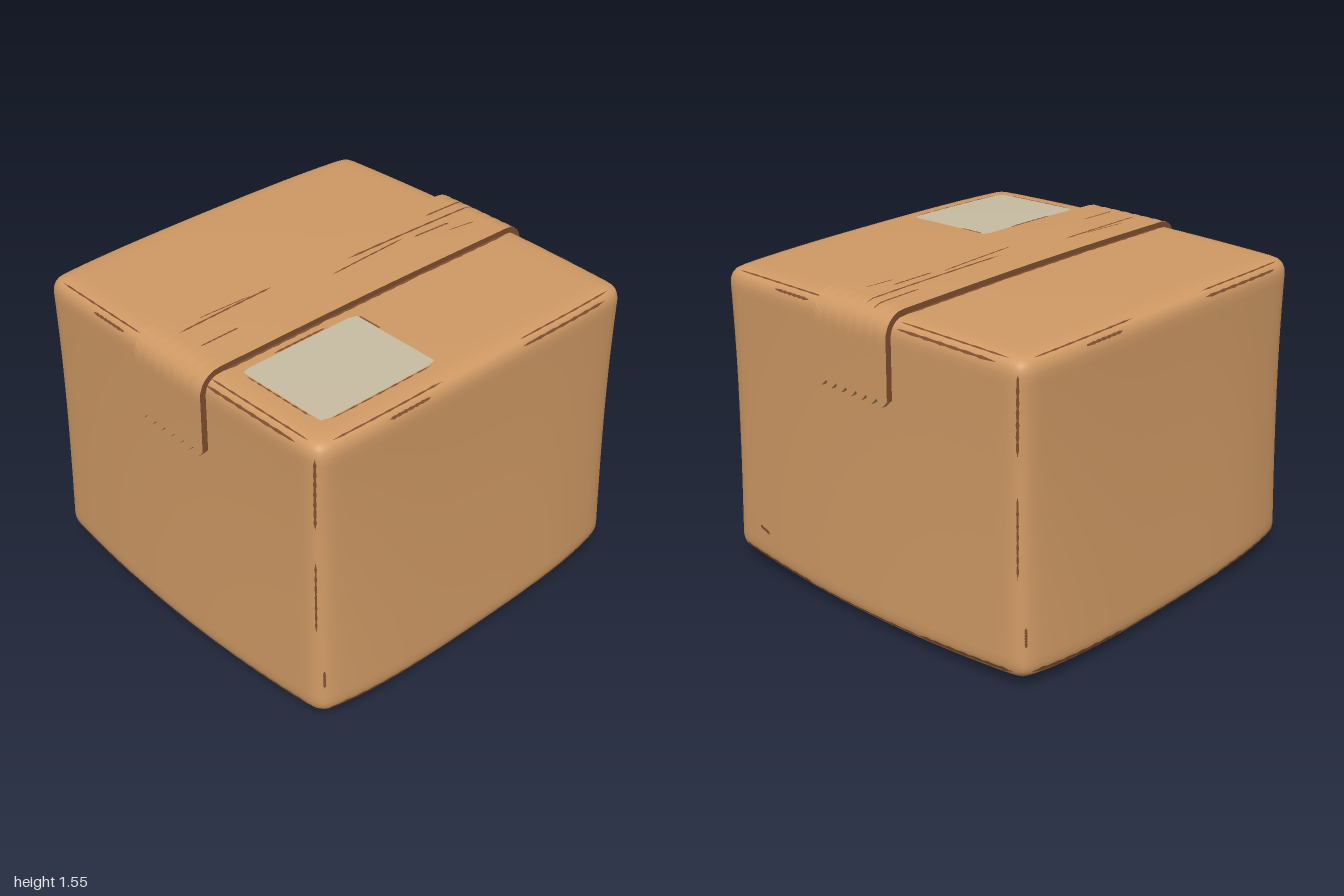
import * as THREE from 'three';
import { mergeVertices, toCreasedNormals } from 'three/addons/utils/BufferGeometryUtils.js';

const H = 1.52;   // height of the undeformed box
const R = 0.08;   // edge radius

const cardboard = new THREE.MeshStandardMaterial({ name: 'cardboard', color: 0xd09a65 });
const wear = new THREE.MeshStandardMaterial({ name: 'worn brown', color: 0x80502f, side: THREE.DoubleSide });
const paper = new THREE.MeshStandardMaterial({ name: 'label paper', color: 0xc8bca2, side: THREE.DoubleSide });

// Takes a point on the plain box to the rounded, sagging box, lifted by "off"
function surf(x, y, z, off = 0) {
  const p = new THREE.Vector3(x, y, z);
  const q = p.clone().clamp(new THREE.Vector3(R - 1, R, R - 1), new THREE.Vector3(1 - R, H - R, 1 - R));
  p.sub(q).setLength(R + off).add(q);
  const t = p.y / H, taper = Math.sin(Math.min(t, 1) * Math.PI / 2), bulge = 1 - 0.6 * t;
  const r2 = p.x * p.x + p.z * p.z;
  return new THREE.Vector3(
    p.x * (1 - 0.04 * taper) * (1 - 0.045 * bulge * p.z * p.z),
    p.y + (1 - t) * 0.03 * r2 - t * 0.012 * r2,
    p.z * (1 - 0.055 * taper) * (1 - 0.06 * bulge * p.x ** 4));
}

// Moves every vertex of a geometry by a rule
function remap(geo, rule) {
  const pos = geo.attributes.position;
  for (let i = 0; i < pos.count; i++) {
    const v = rule(pos.getX(i), pos.getY(i), pos.getZ(i));
    pos.setXYZ(i, v.x, v.y, v.z);
  }
  return geo;
}

function add(group, name, geo, mat) {
  const mesh = new THREE.Mesh(geo, mat);
  mesh.name = name;
  group.add(mesh);
}

// Rounded box with grid lines gathered near its edges
function bodyGeometry() {
  const s = c => Math.sin(c * Math.PI / 2);
  let geo = remap(new THREE.BoxGeometry(2, 2, 2, 28, 28, 28), (x, y, z) => surf(s(x), (s(y) + 1) / 2 * H, s(z)));
  geo.deleteAttribute('normal');
  geo.deleteAttribute('uv');
  geo.clearGroups();
  geo = mergeVertices(geo, 1e-5);
  geo.computeVertexNormals();
  return geo;
}

// Tape running over the top and down both sides, with zigzag ends
function tapeGeometry() {
  const geo = remap(new THREE.BoxGeometry(2, 1, 1, 90, 1, 14), (a, b, c) => {
    const tooth = Math.round((c + 0.5) * 14) % 2;
    const s = a * (1.37 + 0.035 * tooth);
    const over = Math.max(0, Math.abs(s) - 1);
    const z = 0.025 + c * 0.49;
    return surf(THREE.MathUtils.clamp(s, -1, 1), H - over, z, b > 0 ? 0.03 : -0.01);
  });
  const groups = geo.groups.map(g => ({ ...g }));
  const out = toCreasedNormals(geo, 0.7);
  out.clearGroups();
  groups.forEach(g => out.addGroup(g.start, g.count, g.materialIndex));
  return out;
}

// Thin ragged strip from a to b, spread along w, lying on the box
function strip(a, b, w, off = 0.004, rough = 0.5) {
  const geo = remap(new THREE.PlaneGeometry(1, 1, 20, 2), (u, v) => {
    const k = u + 0.5;
    const ragged = Math.min(1, k * 12, (1 - k) * 12) * (1 - rough + rough * Math.sin(k * 23 + a[0] * 9 + a[1] * 5) ** 2);
    const p = [0, 1, 2].map(i => a[i] + (b[i] - a[i]) * k + w[i] * v * ragged);
    return surf(...p, off);
  });
  geo.computeVertexNormals();
  return geo;
}

export function createModel() {
  const root = new THREE.Group();
  root.name = 'cardboardBox';
  add(root, 'boxBody', bodyGeometry(), cardboard);
  add(root, 'tape', tapeGeometry(), [cardboard, cardboard, cardboard, cardboard, wear, wear]);

  // Paper label on the lid, with slightly clipped corners
  const label = remap(new THREE.PlaneGeometry(1, 1, 16, 12), (u, v) => {
    const clip = Math.abs(u) > 0.49 ? 0.95 : 1;
    return surf(-0.515 + u * 0.67, H, 0.595 - v * 0.52 * clip, 0.006);
  });
  label.computeVertexNormals();
  add(root, 'label', label, paper);
  add(root, 'labelWear', strip([-0.66, H, 0.328], [-0.36, H, 0.328], [0, 0, 0.016], 0.009), wear);
  add(root, 'labelWear', strip([-0.8, H, 0.862], [-0.2, H, 0.862], [0, 0, 0.012], 0.005, 0.9), wear);
  add(root, 'labelWear', strip([-0.176, H, 0.36], [-0.176, H, 0.5], [0.012, 0, 0], 0.009), wear);
  add(root, 'labelWear', strip([-0.858, H, 0.38], [-0.858, H, 0.8], [0.012, 0, 0], 0.005, 0.9), wear);

  // Worn edges, repeated on the four sides by quarter turns
  const turn = ([x, y, z], k) => { for (let i = 0; i < k; i++) [x, z] = [z, -x]; return [x, y, z]; };
  const edges = [
    [[-0.95, 0.045, 1], [-0.35, 0.045, 1], [0, 0.03, 0]],
    [[-0.36, 0.042, 1], [0.4, 0.042, 1], [0, 0.018, 0]],
    [[0.38, 0.045, 1], [0.95, 0.045, 1], [0, 0.03, 0]],
    [[-0.6, 1.492, 1], [-0.35, 1.492, 1], [0, 0.022, 0]],
    [[0.25, 1.492, 1], [0.85, 1.492, 1], [0, 0.022, 0]],
    [[-0.9, H, 0.972], [-0.25, H, 0.972], [0, 0, 0.014]],
    [[0.25, H, 0.972], [0.9, H, 0.972], [0, 0, 0.014]],
    [[0.975, 1.08, 1], [0.975, 1.46, 1], [0.022, 0, 0]],
    [[0.975, 0.5, 1], [0.975, 0.9, 1], [0.016, 0, 0]],
    [[-0.975, 0.17, 1], [-0.975, 0.27, 1], [0.02, 0, 0]],
  ];
  for (let k = 0; k < 4; k++)
    for (const e of edges) add(root, 'edgeWear', strip(...e.map(p => turn(p, k))), wear);
  add(root, 'sideScuff', strip([1, 0.2, 0.79], [1, 0.185, 0.71], [0, 0.022, 0]), wear);

  // Dark lines along both long edges of the tape
  for (const z of [-0.226, 0.276])
    for (const [a, b] of [[-0.9, -0.3], [-0.32, 0.3], [0.28, 0.92]])
      add(root, 'tapeEdge', strip([a, H, z], [b, H, z], [0, 0, 0.02]), wear);

  // Creases in the tape: start x, end x, start z, end z, width
  const creases = [
    [-0.88, -0.32, -0.065, -0.078, 0.014], [-0.74, -0.45, -0.1, -0.085, 0.008],
    [-0.88, -0.66, 0.088, 0.088, 0.012], [0.1, 0.96, -0.03, -0.02, 0.016],
    [-0.04, 0.45, 0.032, 0.005, 0.012], [0.5, 0.74, 0.03, 0.04, 0.014],
    [0.7, 0.97, -0.09, -0.09, 0.014], [0.68, 0.84, 0.095, 0.115, 0.008],
  ];
  for (const [x0, x1, z0, z1, w] of creases)
    add(root, 'tapeCrease', strip([x0, H, z0], [x1, H, z1], [0, 0, w], 0.034), wear);

  return root;
}
